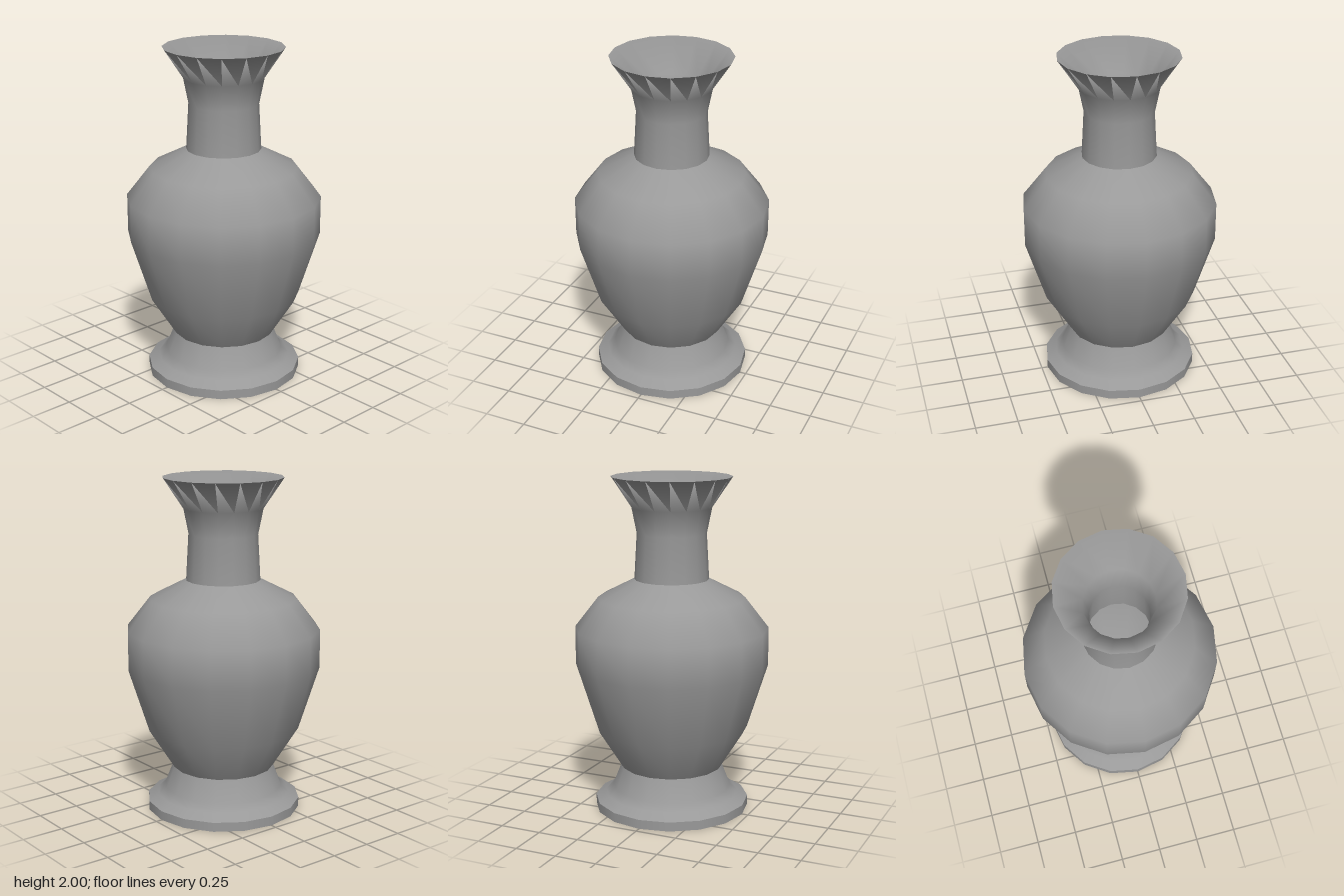
import * as THREE from 'three';

const SIDES = 16;
const material = new THREE.MeshStandardMaterial({ color: 0x999999 });

// One smooth band of the turned form; separate bands keep sharp creases between them.
// Profiles running upward face outward, those running downward face inward.
function turned(name, profile) {
  const points = profile.map(([r, y]) => new THREE.Vector2(r, y));
  const mesh = new THREE.Mesh(new THREE.LatheGeometry(points, SIDES), material);
  mesh.name = name;
  return mesh;
}

export function createModel() {
  const vase = new THREE.Group();
  vase.name = 'vase';

  const bands = {
    // Foot
    footUnderside: [[0, 0], [0.463, 0]],
    footEdge: [[0.463, 0], [0.463, 0.055]],
    footFlare: [[0.463, 0.055], [0.4, 0.09], [0.355, 0.13], [0.305, 0.26]],
    // Outer body
    body: [[0.305, 0.26], [0.455, 0.5], [0.575, 0.88], [0.575, 1.11], [0.435, 1.29], [0.22, 1.4]],
    // Neck, shaded softly over the thin lip and down the inside
    neck: [
      [0.22, 1.4], [0.205, 1.67], [0.235, 1.82], [0.355, 2],
      [0.2, 1.82], [0.168, 1.67], [0.185, 1.38],
    ],
    // Hollow inside, a thin wall in from the outer surface
    innerBody: [[0.185, 1.38], [0.41, 1.26], [0.535, 1.1], [0.535, 0.93], [0.42, 0.52], [0.27, 0.29]],
    innerFloor: [[0.27, 0.29], [0, 0.29]],
  };
  for (const [name, profile] of Object.entries(bands)) vase.add(turned(name, profile));

  return vase;
}
